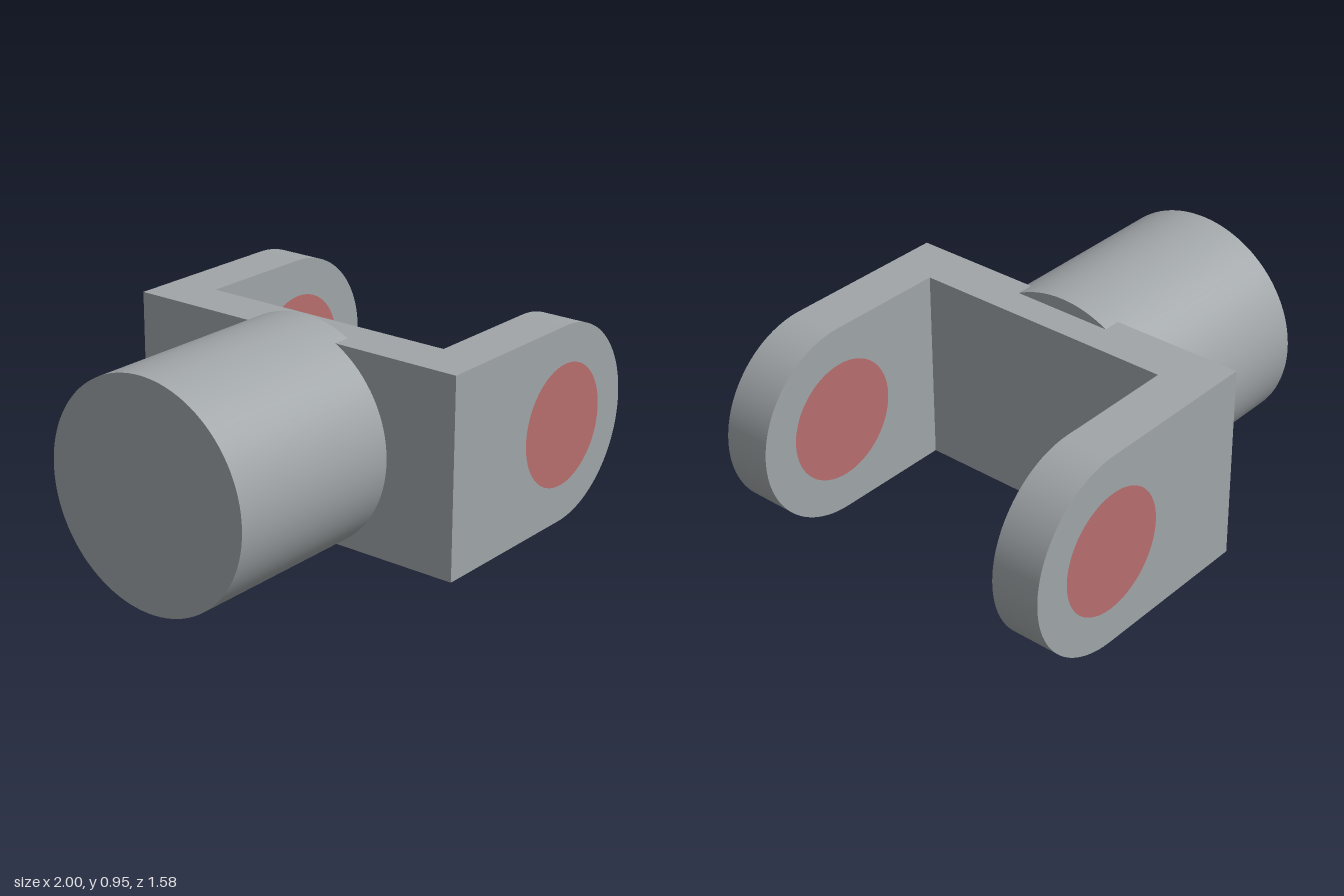
import * as THREE from 'three';
import { toCreasedNormals } from 'three/addons/utils/BufferGeometryUtils.js';

const CY = 0.475;          // height of the common axis
const EYE_X = 0.58;        // centre of the rounded arm ends
const ARM_R = 0.42, HOLE_R = 0.26;
const INNER = 0.58, OUTER = 0.79; // arm faces along z
const BACK = -0.16, WEB = 0.05;   // faces of the cross plate along x

export function createModel() {
  const steel = new THREE.MeshStandardMaterial({ color: 0xa0a5a8 });
  steel.name = 'steel grey';
  const red = new THREE.MeshStandardMaterial({ color: 0xb86e6e });
  red.name = 'bore red';

  const model = new THREE.Group();
  model.name = 'clevisFork';
  const add = (name, geometry, material, x, y, z) => {
    const mesh = new THREE.Mesh(geometry, material);
    mesh.name = name;
    mesh.position.set(x, y, z);
    model.add(mesh);
    return mesh;
  };

  // Round shank, running into the cross plate
  const shankLength = 0.915;
  const shank = new THREE.CylinderGeometry(0.475, 0.475, shankLength, 96);
  shank.rotateZ(Math.PI / 2);
  add('shank', shank, steel, -1 + shankLength / 2, CY, 0);

  // Cross plate joining the arms
  add('crossPlate', new THREE.BoxGeometry(WEB - BACK, ARM_R * 2, OUTER * 2), steel, (BACK + WEB) / 2, CY, 0);

  // Arm outline: straight root and half-round end
  const outline = new THREE.Shape();
  outline.moveTo(WEB, -ARM_R);
  outline.lineTo(EYE_X, -ARM_R);
  outline.absarc(EYE_X, 0, ARM_R, -Math.PI / 2, Math.PI / 2, false);
  outline.lineTo(WEB, ARM_R);
  outline.closePath();
  const arm = toCreasedNormals(new THREE.ExtrudeGeometry(outline, {
    depth: OUTER - INNER, bevelEnabled: false, curveSegments: 48,
  }), 0.5);

  // Two arms, each with a coloured bore disc on both faces
  const disc = new THREE.CircleGeometry(HOLE_R, 64);
  for (const [side, s] of [['left'.replace('left', 'front'), 1], ['back', -1]]) {
    add(side + 'Arm', arm, steel, 0, CY, s > 0 ? INNER : -OUTER);
    add(side + 'OuterBore', disc, red, EYE_X, CY, s * (OUTER + 0.002)).rotation.y = s > 0 ? 0 : Math.PI;
    add(side + 'InnerBore', disc, red, EYE_X, CY, s * (INNER - 0.002)).rotation.y = s > 0 ? Math.PI : 0;
  }
  return model;
}
